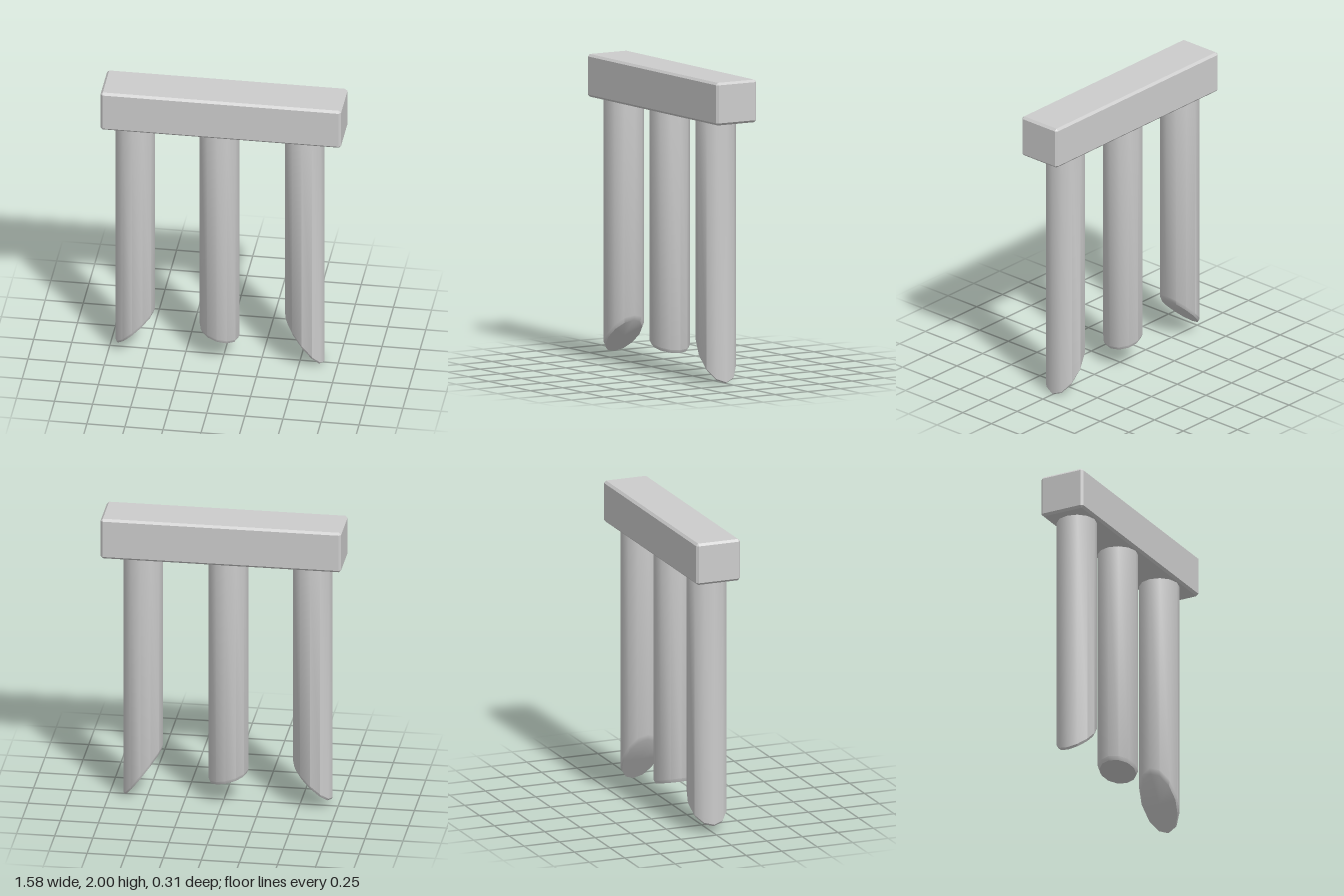
import * as THREE from 'three';
import { toCreasedNormals } from 'three/addons/utils/BufferGeometryUtils.js';
import { ConvexGeometry } from 'three/addons/geometries/ConvexGeometry.js';

// Box with every edge chamfered, given half sizes
function chamferedBox(hx, hy, hz, c) {
  const points = [];
  for (const x of [-1, 1]) for (const y of [-1, 1]) for (const z of [-1, 1]) {
    points.push(
      new THREE.Vector3(x * hx, y * (hy - c), z * (hz - c)),
      new THREE.Vector3(x * (hx - c), y * hy, z * (hz - c)),
      new THREE.Vector3(x * (hx - c), y * (hy - c), z * hz));
  }
  return new ConvexGeometry(points);
}

// Round post whose chamfered lower end is cut at a slant
function slantedPost(radius, cutHeight, top, slope) {
  const profile = [
    [0, cutHeight - 0.023], [radius - 0.011, cutHeight - 0.023],
    [radius, cutHeight], [radius, top], [0, top],
  ].map(([x, y]) => new THREE.Vector2(x, y));
  const geometry = new THREE.LatheGeometry(profile, 12);
  const p = geometry.attributes.position;
  for (let i = 0; i < p.count; i++) {
    if (p.getY(i) < top - 0.01) p.setY(i, p.getY(i) + slope * p.getX(i));
  }
  return toCreasedNormals(geometry, 0.6);
}

export function createModel() {
  const model = new THREE.Group();
  const grey = new THREE.MeshStandardMaterial({ color: 0xcccccc });
  grey.name = 'light grey';

  const add = (name, geometry, x, y) => {
    const mesh = new THREE.Mesh(geometry, grey);
    mesh.name = name;
    mesh.position.set(x, y, 0);
    model.add(mesh);
  };

  // Crossbeam on top
  add('crossbeam', chamferedBox(0.79, 0.14, 0.155, 0.015), 0, 1.86);

  // Three hanging posts, each with its own cut
  for (const [name, x, slope] of [
    ['rightPost', -0.583, 0.97],
    ['middlePost', -0.029, -0.27],
    ['leftPost', 0.53, -1.36],
  ]) add(name, slantedPost(0.131, 0.188, 1.74, slope), x, 0);

  return model;
}
